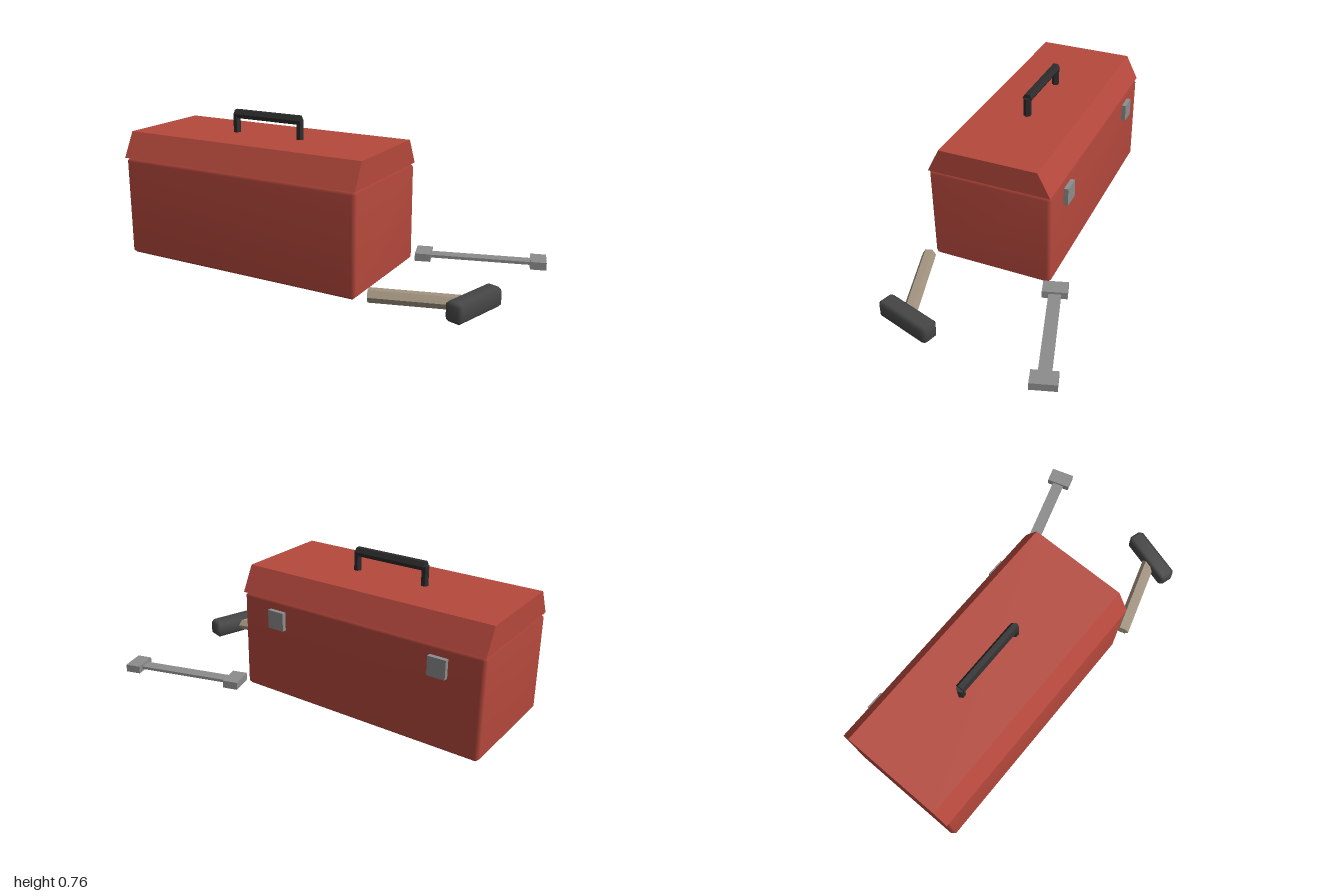
import * as THREE from 'three';
import { mergeVertices } from 'three/addons/utils/BufferGeometryUtils.js';
import { ConvexGeometry } from 'three/addons/geometries/ConvexGeometry.js';

const paint = (color, flatShading = false) => {
  const m = new THREE.MeshStandardMaterial({ flatShading });
  m.color.set(color);
  return m;
};

// box with softly shaded chamfers along every edge
function chamferBox(w, h, d, c) {
  const pts = [];
  for (const x of [-1, 1]) for (const y of [-1, 1]) for (const z of [-1, 1]) {
    for (let k = 0; k < 3; k++) {
      pts.push(new THREE.Vector3(
        x * (w / 2 - (k === 0 ? 0 : c)),
        y * (h / 2 - (k === 1 ? 0 : c)),
        z * (d / 2 - (k === 2 ? 0 : c))));
    }
  }
  let geo = new ConvexGeometry(pts);
  geo.deleteAttribute('normal');
  geo = mergeVertices(geo, 1e-4);
  geo.computeVertexNormals();
  return geo;
}

export function createModel() {
  const red = paint(0xb5483c);
  const redFlat = paint(0xb5483c, true);
  const black = paint(0x2b2b2b, true);
  const steel = paint(0x8c8c8c, true);
  const iron = paint(0x464646);
  const wood = paint(0xa39480, true);

  const model = new THREE.Group();
  model.name = 'toolboxSet';
  const add = (parent, name, geo, mat, x, y, z) => {
    const mesh = new THREE.Mesh(geo, mat);
    mesh.name = name;
    mesh.position.set(x, y, z);
    parent.add(mesh);
    return mesh;
  };

  // toolbox, centred on its own base
  const box = new THREE.Group();
  box.name = 'toolbox';
  box.position.set(-0.33, 0, 0.125);
  model.add(box);
  add(box, 'body', chamferBox(1.34, 0.515, 0.638, 0.018), red, 0, 0.2575, 0);

  // lid: trapezoid section run along the length
  const section = new THREE.Shape([
    new THREE.Vector2(-0.32, 0.515), new THREE.Vector2(0.32, 0.515),
    new THREE.Vector2(0.255, 0.643), new THREE.Vector2(-0.255, 0.643),
  ]);
  const lidGeo = new THREE.ExtrudeGeometry(section, { depth: 1.34, bevelEnabled: false });
  lidGeo.translate(0, 0, -0.67).rotateY(Math.PI / 2);
  add(box, 'lid', lidGeo, redFlat, 0, 0, 0);

  // carrying handle: six-sided grip on two posts
  const grip = new THREE.CylinderGeometry(0.025, 0.025, 0.385, 6);
  grip.rotateY(Math.PI / 6).rotateZ(Math.PI / 2).rotateX(Math.PI / 2);
  grip.rotateX(Math.PI / 2);
  grip.rotateX(Math.PI / 6);
  grip.computeBoundingBox();
  // keep the flat sides on top and bottom
  if (grip.boundingBox.max.y > 0.024) grip.rotateX(Math.PI / 6);
  add(box, 'handleGrip', grip, black, 0.003, 0.739, 0);
  for (const s of [-1, 1]) {
    const post = new THREE.CylinderGeometry(0.02, 0.02, 0.1, 6);
    post.rotateY(Math.PI / 2);
    add(box, 'handlePost', post, black, 0.003 + s * 0.19, 0.69, 0);
    // latch plates on the back wall
    add(box, 'latch', new THREE.BoxGeometry(0.092, 0.095, 0.04), steel, s * 0.449, 0.418, -0.322);
  }

  // hammer: chamfered head with a slanted six-sided shaft
  const hammer = new THREE.Group();
  hammer.name = 'hammer';
  hammer.position.set(0.858, 0.048, 0.302);
  model.add(hammer);
  add(hammer, 'hammerHead', chamferBox(0.09, 0.096, 0.312, 0.017), iron, 0, 0, 0).rotation.y = -0.297;
  const shaft = new THREE.CylinderGeometry(0.035, 0.035, 0.47, 6);
  shaft.rotateZ(Math.PI / 2).translate(-0.235, 0, 0);
  add(hammer, 'hammerShaft', shaft, wood, 0, -0.001, 0).rotation.y = 0.297;

  // wrench: thin bar between two blocky ends
  const wrench = new THREE.Group();
  wrench.name = 'wrench';
  wrench.position.set(0.662, 0.02, -0.328);
  wrench.rotation.y = 0.297;
  model.add(wrench);
  add(wrench, 'wrenchBar', new THREE.BoxGeometry(0.58, 0.015, 0.062), steel, 0, 0, 0);
  for (const s of [-1, 1]) {
    add(wrench, 'wrenchEnd', new THREE.BoxGeometry(0.08, 0.04, 0.126), steel, s * 0.29, 0, 0);
  }
  return model;
}
